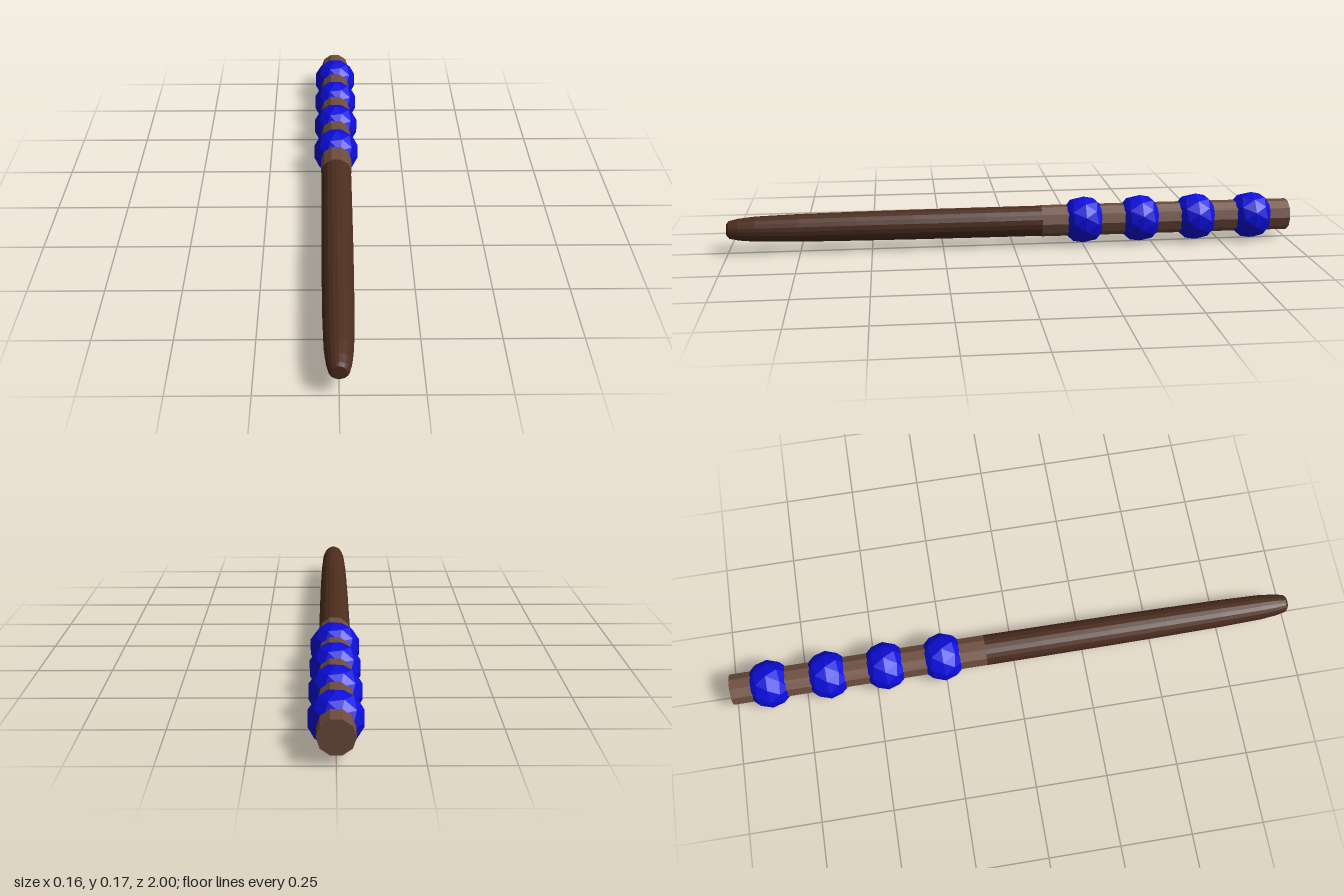
import * as THREE from 'three';

const AXIS_Y = 0.086;

function material(name, color) {
  const m = new THREE.MeshStandardMaterial({ color });
  m.name = name;
  return m;
}

// Split the faces apart so that each gets its own flat normal
function faceted(geometry) {
  const g = geometry.index ? geometry.toNonIndexed() : geometry;
  g.computeVertexNormals();
  return g;
}

export function createModel() {
  const group = new THREE.Group();
  group.name = 'beadedWand';
  const darkWood = material('darkWood', 0x4c2d1e);
  const lightWood = material('lightWood', 0x6d4c3e);
  const blue = material('blueBead', 0x0c0cdc);

  const add = (name, geometry, mat, z = 0) => {
    const mesh = new THREE.Mesh(faceted(geometry), mat);
    mesh.name = name;
    mesh.position.set(0, AXIS_Y, z);
    group.add(mesh);
  };

  // Tapered shaft with a rounded, blunt tip: [radius, z]
  const profile = [
    [0, -0.1], [0.054, -0.1], [0.0535, 0.1], [0.0525, 0.35], [0.051, 0.55],
    [0.0485, 0.75], [0.044, 0.9], [0.038, 0.96], [0.031, 0.992], [0.022, 1], [0, 1],
  ].map(([r, z]) => new THREE.Vector2(r, z));
  add('shaft', new THREE.LatheGeometry(profile, 20).rotateX(Math.PI / 2), darkWood);

  // Ten-sided handle with a flat side on top
  const handle = new THREE.CylinderGeometry(0.056, 0.056, 0.9, 10);
  add('handle', handle.rotateY(Math.PI / 2).rotateX(Math.PI / 2), lightWood, -0.55);

  // Faceted beads threaded on the handle, poles along z
  [-0.253, -0.457, -0.661, -0.867].forEach((z, i) => {
    const bead = new THREE.IcosahedronGeometry(0.085, 1);
    bead.rotateX(Math.atan(2 / (1 + Math.sqrt(5)))).rotateZ(Math.PI / 2);
    add('bead' + (i + 1), bead, blue, z);
  });

  return group;
}
